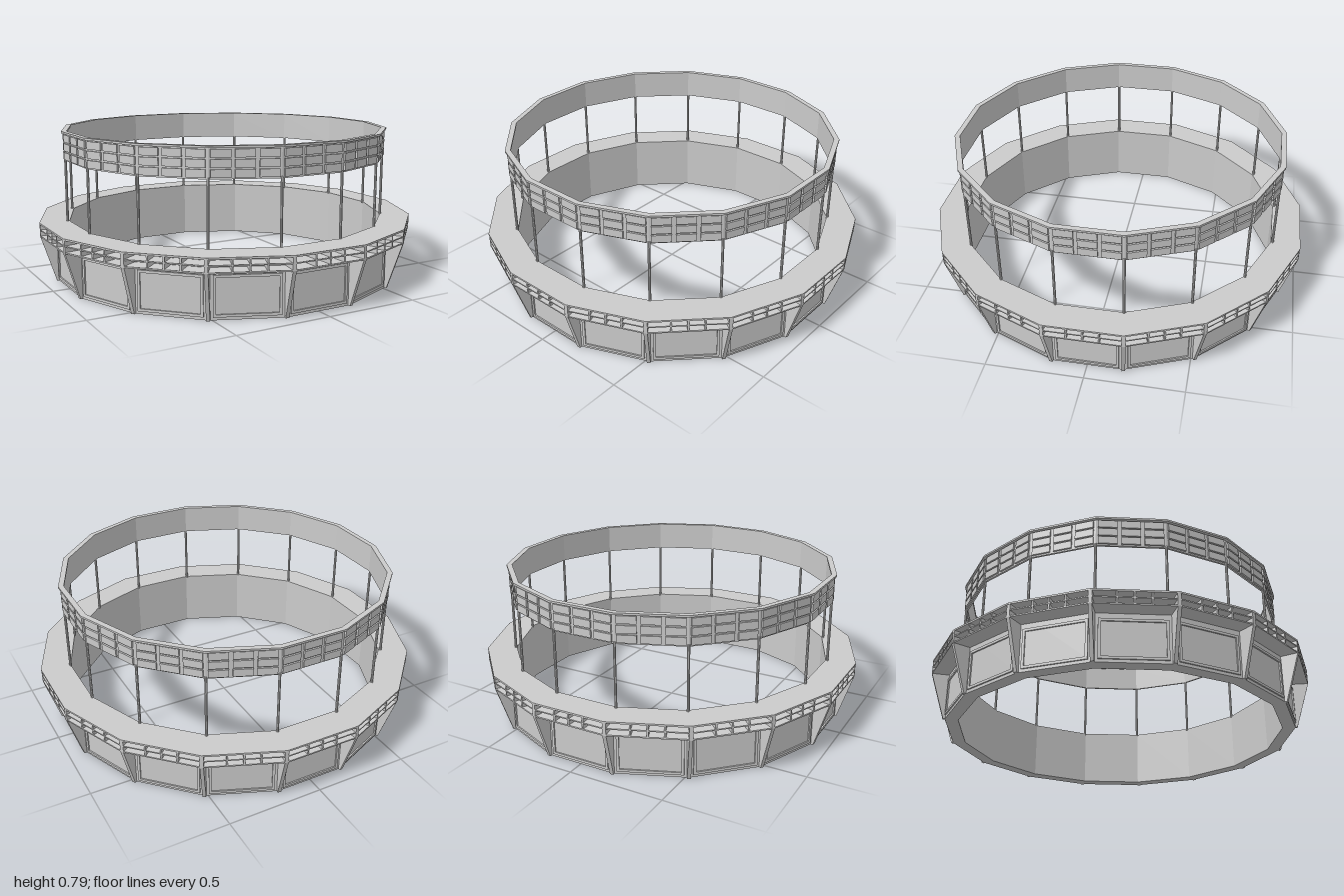
import * as THREE from 'three';

const SIDES = 16;
const STEP = (Math.PI * 2) / SIDES;
const CORNER = 1 / Math.cos(STEP / 2); // apothem to corner radius
const material = new THREE.MeshStandardMaterial({
  color: 0xcccccc, flatShading: true, side: THREE.DoubleSide,
});

function add(parent, name, geometry, x = 0, y = 0, z = 0) {
  const mesh = new THREE.Mesh(geometry, material);
  mesh.name = name;
  mesh.position.set(x, y, z);
  parent.add(mesh);
  return mesh;
}

// Sixteen-sided ring with a rectangular section, radii given to the flat sides
function ring(parent, name, inner, outer, bottom, top) {
  const profile = [[outer, bottom], [outer, top], [inner, top], [inner, bottom], [outer, bottom]]
    .map(([r, y]) => new THREE.Vector2(r * CORNER, y));
  return add(parent, name, new THREE.LatheGeometry(profile, SIDES, STEP / 2, Math.PI * 2));
}

// One group per side (shift 0) or per corner (shift 0.5), local +z facing outward
function around(parent, name, shift, build) {
  for (let i = 0; i < SIDES; i++) {
    const group = new THREE.Group();
    group.name = name;
    group.rotation.y = (i + shift) * STEP;
    build(group);
    parent.add(group);
  }
}

// Raised rectangular moulding
function frameGeometry(w, h, border, depth) {
  const shape = new THREE.Shape();
  shape.moveTo(-w / 2, -h / 2).lineTo(w / 2, -h / 2).lineTo(w / 2, h / 2).lineTo(-w / 2, h / 2).closePath();
  const a = w / 2 - border, b = h / 2 - border;
  const hole = new THREE.Path();
  hole.moveTo(-a, -b).lineTo(-a, b).lineTo(a, b).lineTo(a, -b).closePath();
  shape.holes.push(hole);
  return new THREE.ExtrudeGeometry(shape, { depth, bevelEnabled: false });
}

// Slanted corner bracket, drawn as radius against height
function bracketGeometry(thickness) {
  const root = 0.9 * CORNER, foot = 0.922 * CORNER, tip = 0.998 * CORNER;
  const shape = new THREE.Shape();
  shape.moveTo(root, 0).lineTo(foot, 0).lineTo(tip, 0.245).lineTo(tip, 0.311).lineTo(root, 0.311).closePath();
  const geometry = new THREE.ExtrudeGeometry(shape, { depth: thickness, bevelEnabled: false });
  geometry.translate(0, 0, -thickness / 2);
  geometry.rotateY(-Math.PI / 2);
  return geometry;
}

export function createModel() {
  const model = new THREE.Group();
  model.name = 'roundBar';

  // Lower counter: wall, shelves and worktop
  const counter = new THREE.Group();
  counter.name = 'counter';
  model.add(counter);
  ring(counter, 'counterWall', 0.845, 0.912, 0, 0.311);
  ring(counter, 'lowerShelf', 0.91, 0.998, 0.243, 0.25);
  ring(counter, 'middleShelf', 0.91, 0.998, 0.277, 0.283);
  ring(counter, 'worktop', 0.845, 1, 0.309, 0.318);

  // Framed panels and shelf dividers on each side
  const panelFrame = frameGeometry(0.32, 0.2, 0.013, 0.008);
  const divider = new THREE.BoxGeometry(0.008, 0.064, 0.085);
  around(counter, 'counterSide', 0, (side) => {
    add(side, 'panelFrame', panelFrame, 0, 0.115, 0.911);
    for (const x of [-0.08, 0, 0.08]) add(side, 'shelfDivider', divider, x, 0.279, 0.954);
  });
  const bracket = bracketGeometry(0.018);
  around(counter, 'counterCorner', 0.5, (corner) => add(corner, 'bracket', bracket));

  // Upper canopy, very slightly off centre
  const canopy = new THREE.Group();
  canopy.name = 'canopy';
  canopy.position.set(-0.004, 0, -0.004);
  model.add(canopy);
  ring(canopy, 'canopyWall', 0.842, 0.852, 0.64, 0.786);
  ring(canopy, 'canopyCap', 0.84, 0.868, 0.784, 0.794);

  // Three rows of raised blocks on each canopy side
  const block = new THREE.BoxGeometry(0.094, 0.038, 0.014);
  around(canopy, 'canopySide', 0, (side) => {
    for (let row = 0; row < 3; row++) {
      for (let col = -1; col <= 1; col++) {
        add(side, 'block', block, col * 0.112, 0.667 + row * 0.046, 0.854);
      }
    }
  });

  // Posts at the corners
  const post = new THREE.CylinderGeometry(0.007, 0.007, 0.34, 8);
  around(canopy, 'canopyCorner', 0.5, (corner) => add(corner, 'post', post, 0, 0.48, 0.85 * CORNER));

  return model;
}
